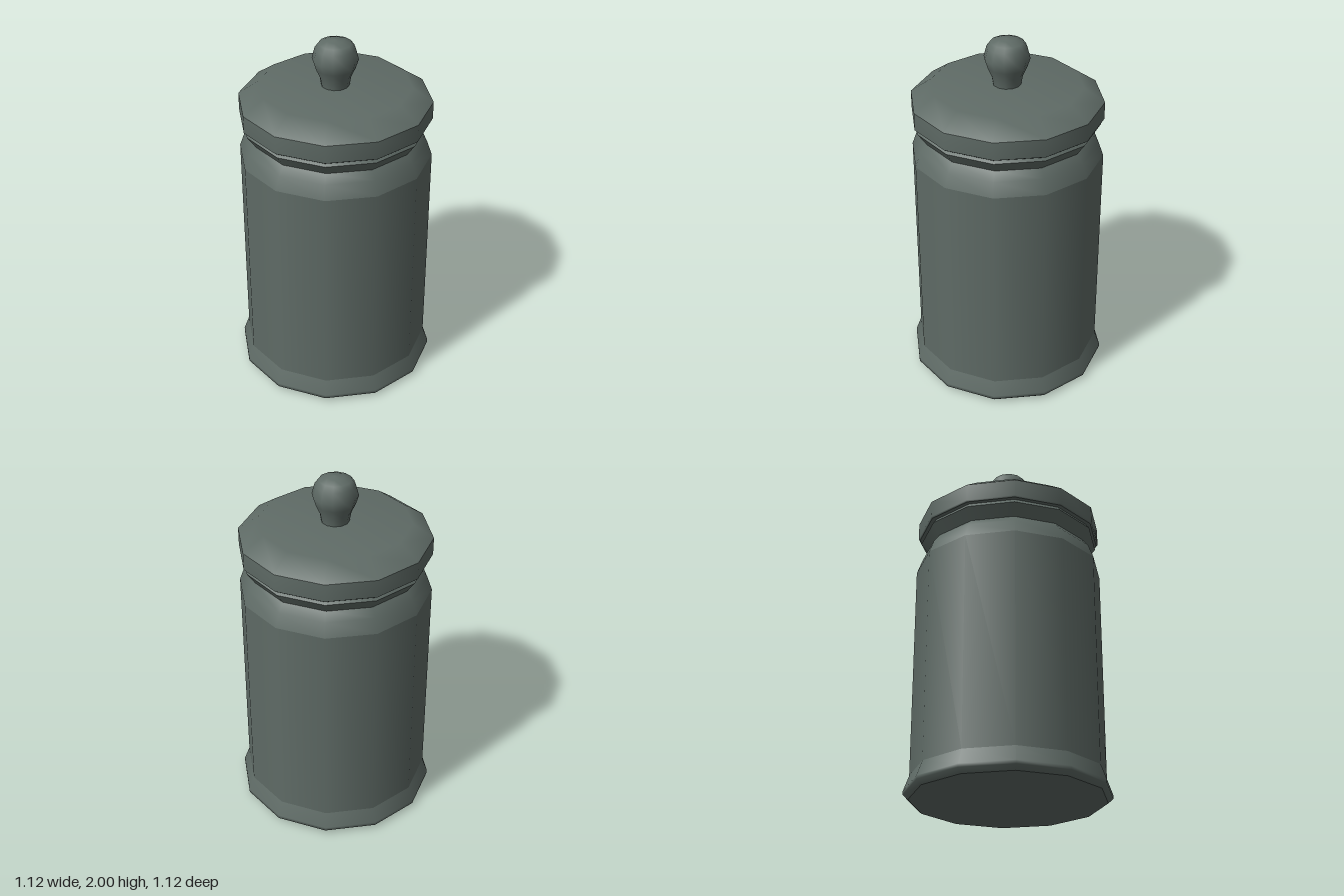
import * as THREE from 'three';

const SIDES = 12;

export function createModel() {
  const jar = new THREE.Group();
  jar.name = 'lidded jar';
  const material = new THREE.MeshStandardMaterial({ color: 0x5f6b66 });

  // Each part is a stack of turned profiles [radius, y]; a new profile starts at every sharp edge
  const turn = (name, ...profiles) => {
    const part = new THREE.Group();
    part.name = name;
    profiles.forEach((profile, i) => {
      const points = profile.map(([r, y]) => new THREE.Vector2(r, y));
      const mesh = new THREE.Mesh(new THREE.LatheGeometry(points, SIDES), material);
      mesh.name = `${name}Section${i + 1}`;
      part.add(mesh);
    });
    jar.add(part);
  };

  // Jar with flared foot and rounded shoulder
  turn('body',
    [[0, 0], [0.53, 0]],
    [[0.53, 0], [0.558, 0.025], [0.558, 0.045], [0.527, 0.13]],
    [[0.527, 0.13], [0.527, 1.34]],
    [[0.527, 1.34], [0.498, 1.42], [0.462, 1.465]],
  );

  // Flared neck under the lid
  turn('neck',
    [[0.462, 1.465], [0.507, 1.53]],
    [[0.507, 1.53], [0.49, 1.55], [0.49, 1.56]],
  );

  // Lid with straight rim and bevelled top
  turn('lid',
    [[0, 1.555], [0.515, 1.555]],
    [[0.515, 1.555], [0.523, 1.562], [0.523, 1.66]],
    [[0.523, 1.66], [0.41, 1.738], [0, 1.738]],
  );

  // Round knob on a short stem
  turn('knob', [
    [0.075, 1.735], [0.085, 1.79], [0.108, 1.84], [0.124, 1.89],
    [0.108, 1.95], [0.088, 1.977], [0.045, 1.993], [0, 2],
  ]);

  return jar;
}
